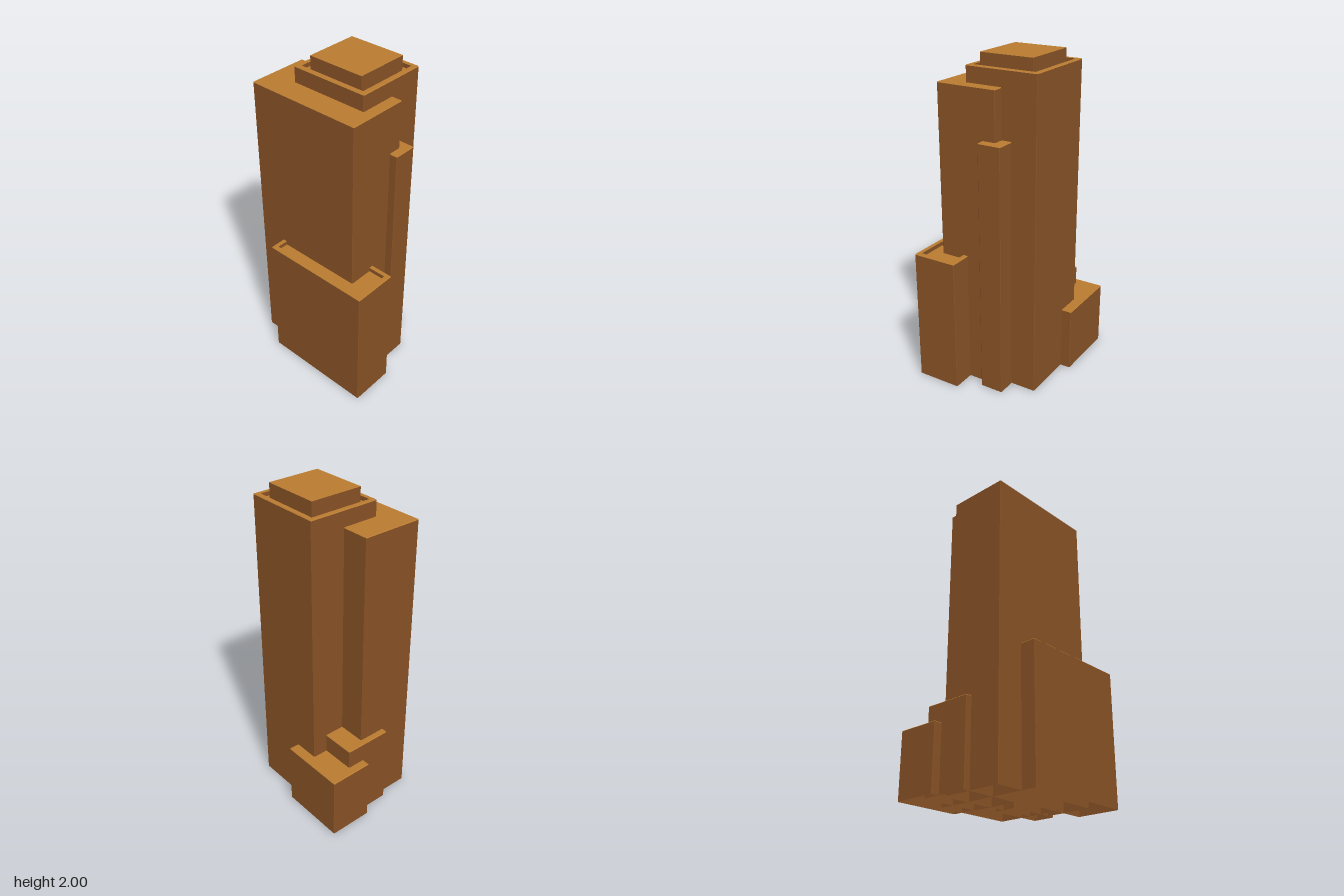
import * as THREE from 'three';

const wall = new THREE.MeshStandardMaterial({ color: 0x865125, side: THREE.DoubleSide });
wall.name = 'brown wall';
const roof = new THREE.MeshStandardMaterial({ color: 0xb87b30, side: THREE.DoubleSide });
roof.name = 'ochre roof';

// Rectangle with cut corners, pulled in by inset, at height y
function ring([x0, x1, z0, z1], inset, cut, y) {
  const a = x0 + inset, b = x1 - inset, c = z0 + inset, d = z1 - inset;
  return [
    [a + cut, d], [b - cut, d], [b, d - cut], [b, c + cut],
    [b - cut, c], [a + cut, c], [a, c + cut], [a, d - cut],
  ].map(([x, z]) => new THREE.Vector3(x, y, z));
}

// Mesh made of the band between each pair of rings, with an optional cap
function bands(name, pairs, cap, material) {
  const pts = [];
  for (const [lo, hi] of pairs) {
    for (let i = 0; i < 8; i++) {
      const j = (i + 1) % 8;
      pts.push(lo[i], lo[j], hi[j], lo[i], hi[j], hi[i]);
    }
  }
  if (cap) for (let i = 1; i < 7; i++) pts.push(cap[0], cap[i], cap[i + 1]);
  const geometry = new THREE.BufferGeometry().setFromPoints(pts);
  geometry.computeVertexNormals();
  const mesh = new THREE.Mesh(geometry, material);
  mesh.name = name;
  return mesh;
}

// One block, open underneath, with a softened top edge and perhaps a sunken roof
function block({ name, rect, base = 0, top, bevel = 0.004, parapet = false }) {
  const group = new THREE.Group();
  group.name = name;
  const foot = ring(rect, 0, bevel, base);
  const shoulder = ring(rect, 0, bevel, top - bevel);
  const rim = ring(rect, bevel, bevel / 2, top);
  group.add(bands(name + 'Walls', [[foot, shoulder]], null, wall));
  if (parapet) {
    const lip = ring(rect, 0.03, 0.0005, top);
    const floor = ring(rect, 0.03, 0.0005, top - 0.025);
    group.add(bands(name + 'Rim', [[shoulder, rim], [rim, lip]], null, roof));
    group.add(bands(name + 'ParapetInside', [[lip, floor]], null, wall));
    group.add(bands(name + 'Roof', [], floor, roof));
  } else {
    group.add(bands(name + 'Roof', [[shoulder, rim]], rim, roof));
  }
  return group;
}

export function createModel() {
  const model = new THREE.Group();
  model.name = 'skyscraper';
  // rect is [x min, x max, z min, z max]
  const blocks = [
    { name: 'mainTower', rect: [-0.135, 0.318, -0.225, 0.274], top: 1.935, parapet: true },
    { name: 'roofHouse', rect: [-0.082, 0.254, -0.153, 0.211], base: 1.91, top: 2, bevel: 0.001 },
    { name: 'sideTower', rect: [-0.284, 0.097, -0.398, 0.34], top: 1.838 },
    { name: 'frontPier', rect: [0.013, 0.159, 0.05, 0.39], top: 1.546 },
    { name: 'rightWing', rect: [-0.384, -0.103, -0.225, 0.482], top: 0.826, parapet: true },
    { name: 'rearStep', rect: [-0.08, 0.223, -0.435, -0.05], top: 0.52 },
    { name: 'rearWing', rect: [0.109, 0.382, -0.485, -0.063], top: 0.4 },
  ];
  for (const b of blocks) model.add(block(b));
  return model;
}
